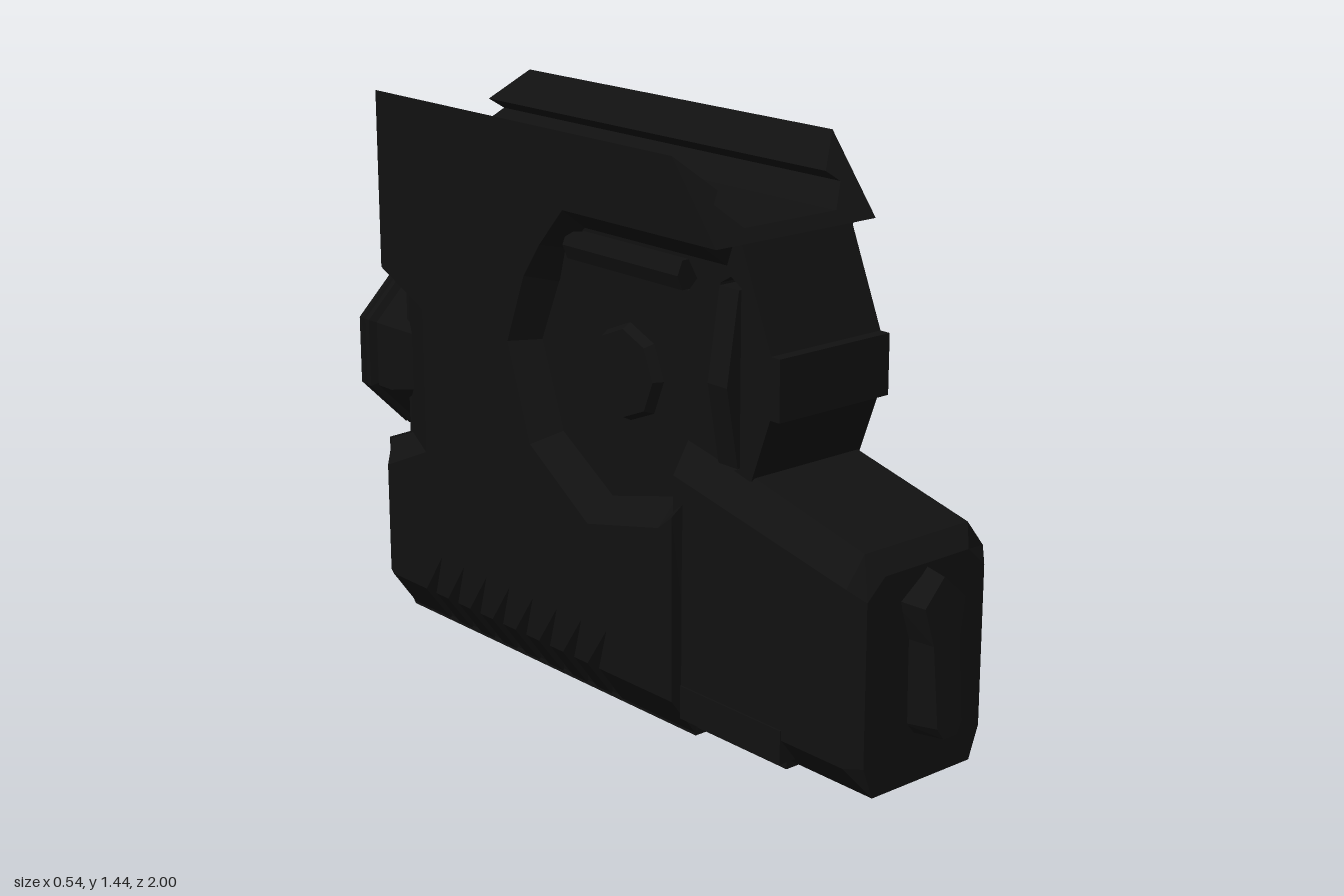
import * as THREE from 'three';

const dark = new THREE.MeshStandardMaterial({ color: 0x111111, flatShading: true });
const light = new THREE.MeshStandardMaterial({ color: 0xcccccc, side: THREE.DoubleSide });

// Closed loft along z through rings { at, pts: [a, b, offset?] } of equal length, with capped ends
function loft(rings) {
  const flat = (r) => r.pts.map((p) => new THREE.Vector2(p[0], p[1]));
  const last = rings.length - 1;
  if (THREE.ShapeUtils.isClockWise(flat(rings[last]))) {
    rings = rings.map((r) => ({ at: r.at, pts: [...r.pts].reverse() }));
  }
  const n = rings[0].pts.length, pos = [], idx = [];
  rings.forEach((r) => r.pts.forEach((p) => pos.push(p[0], p[1], r.at + (p[2] || 0))));
  for (let k = 0; k < last; k++) {
    for (let i = 0; i < n; i++) {
      const a = k * n + i, b = k * n + ((i + 1) % n);
      idx.push(a, b, b + n, a, b + n, a + n);
    }
  }
  for (const k of [0, last]) {
    const c = flat(rings[k]);
    for (const [i, j, l] of THREE.ShapeUtils.triangulateShape(c, [])) {
      const ccw = c[j].clone().sub(c[i]).cross(c[l].clone().sub(c[i])) > 0;
      const [u, v] = ccw === (k === last) ? [j, l] : [l, j];
      idx.push(k * n + i, k * n + u, k * n + v);
    }
  }
  const g = new THREE.BufferGeometry();
  g.setAttribute('position', new THREE.Float32BufferAttribute(pos, 3));
  g.setIndex(idx);
  const out = g.toNonIndexed();
  out.computeVertexNormals();
  return out;
}

// Side outlines are given as [z, y] and lofted or extruded across x
const turn = (pts) => pts.map(([z, y]) => [-z, y]);
const toV2 = (pts) => turn(pts).map((p) => new THREE.Vector2(...p));

export function createModel() {
  const group = new THREE.Group();
  const body = new THREE.Group();
  body.name = 'body';
  body.position.x = -0.0175;
  group.add(body);
  const add = (name, geometry, material = dark) => {
    const m = new THREE.Mesh(geometry, material);
    m.name = name;
    body.add(m);
    return m;
  };
  const box = (name, w, y0, y1, z0, z1, x = 0, mat = dark) =>
    add(name, new THREE.BoxGeometry(w, y1 - y0, z1 - z0).translate(x, (y0 + y1) / 2, (z0 + z1) / 2), mat);

  // Core slab with the upper front head and two through slots
  const core = new THREE.Shape(toV2([
    [0.33, 0], [-0.84, 0], [-0.94, 0.11], [-0.94, 0.46], [-0.84, 0.5], [-0.84, 0.9], [-0.94, 0.95],
    [-0.94, 1.28], [0.455, 1.28], [0.48, 1.25], [0.58, 1.01], [0.58, 0.86], [0.52, 0.7], [0.33, 0.65],
  ]));
  core.holes.push(
    new THREE.Path(toV2([[0.33, 1.145], [0.3, 1.185], [-0.135, 1.185], [-0.155, 1.15], [-0.135, 1.11], [0.3, 1.11]])),
    new THREE.Path(toV2([[0.48, 0.72], [0.445, 0.705], [0.41, 0.72], [0.41, 1.15], [0.445, 1.17], [0.48, 1.15]])),
  );
  add('core', new THREE.ExtrudeGeometry(core, { depth: 0.35, bevelEnabled: false })
    .translate(0, 0, -0.175).rotateY(Math.PI / 2));
  box('nose', 0.35, 0.86, 1.01, 0.55, 0.61);

  // Bars inside the slots, bulging at the sides
  const bulge = (y0, y1, ym, w, m) => [[-w, y0], [w, y0], [m, ym], [w, y1], [-w, y1], [-m, ym]];
  const upright = bulge(0.72, 1.145, 0.92, 0.18, 0.215);
  add('uprightBar', loft([{ at: 0.412, pts: upright }, { at: 0.478, pts: upright }]));
  const level = bulge(1.112, 1.183, 1.148, 0.19, 0.205);
  add('levelBar', loft([{ at: -0.13, pts: level }, { at: 0.295, pts: level }]));

  // Side plates: [outer z, y, inner z, y], with grip grooves, rear notch and front recess
  const outline = [[0.33, 0.11, 0.33, 0]];
  for (let i = 0; i < 8; i++) {
    const z = 0.05 - i * 0.098;
    outline.push([z + 0.005, 0.11, z + 0.005, 0], [z + 0.035, 0.22, z, 0], [z - 0.04, 0.11, z - 0.04, 0]);
  }
  outline.push(
    [-0.83, 0.11, -0.84, 0], [-0.84, 0.12, -0.935, 0.11], [-0.84, 0.42, -0.935, 0.46],
    [-0.66, 0.5, -0.84, 0.5], [-0.66, 0.89, -0.84, 0.9], [-0.84, 0.97, -0.935, 0.95],
    [-0.84, 1.27, -0.935, 1.27], [0.46, 1.27, 0.46, 1.27],
    [0.43, 1.25, 0.43, 1.19], [-0.07, 1.25, -0.08, 1.19], [-0.16, 1.15, -0.155, 1.13],
    [-0.225, 1.06, -0.18, 1.04], [-0.295, 0.88, -0.25, 0.88], [-0.21, 0.63, -0.17, 0.66],
    [0.015, 0.48, 0.02, 0.54], [0.28, 0.54, 0.26, 0.6], [0.33, 0.58, 0.34, 0.65],
  );
  const outer = { at: 0.2525, pts: turn(outline.map((p) => [p[0], p[1]])) };
  const inner = { at: 0.17, pts: turn(outline.map((p) => [p[2], p[3]])) };
  for (const s of [1, -1]) {
    const rings = s > 0 ? [inner, outer] : [{ at: -outer.at, pts: outer.pts }, { at: -inner.at, pts: inner.pts }];
    add(s > 0 ? 'leftPlate' : 'rightPlate', loft(rings).rotateY(Math.PI / 2));

    // Top mounting rail, ends cut back along the section
    const section = [[0.2525, 1.25], [0.2525, 1.44], [0.17, 1.36], [0.2, 1.335], [0.145, 1.28], [0.145, 1.25]];
    const end = (f) => section.map(([x, y]) => [s * x, y, f(x, y)]);
    add(s > 0 ? 'leftRail' : 'rightRail', loft([
      { at: 0, pts: end((x) => -0.84 - (0.2525 - x) * 0.93) },
      { at: 0, pts: end((x, y) => Math.min(0.48, 0.33 + (1.44 - y) * 0.79)) },
    ]));
  }

  // Lower front block with chamfered edges
  const blockRing = (at, w, top, drop, low) => ({
    at,
    pts: [[-0.16, low], [0.16, low], [w, low + 0.08], [w, top - drop], [w - 0.055, top], [0.055 - w, top],
      [-w, top - drop], [-w, low + 0.08]],
  });
  add('frontBlock', loft([
    blockRing(0.3, 0.222, 0.76, 0.09, 0.04),
    blockRing(0.88, 0.222, 0.62, 0.07, 0.04),
    blockRing(0.915, 0.19, 0.57, 0.05, 0.04),
  ]));
  box('underPad', 0.34, 0.02, 0.1, 0.3, 0.645);
  box('underTabs', 0.452, 0.06, 0.145, 0.33, 0.68);

  // Spoon-shaped front latch
  const latch = [[-0.03, 0.16], [0.03, 0.16], [0.055, 0.19], [0.058, 0.4], [0.09, 0.5], [0, 0.565],
    [-0.09, 0.5], [-0.058, 0.4], [-0.055, 0.19]];
  add('latch', loft([
    { at: 0.89, pts: latch },
    { at: 0, pts: latch.map(([x, y]) => [x * 0.72, 0.36 + (y - 0.36) * 0.93, 1.012 - y * 0.078]) },
  ]));

  // Octagonal side button and the plain disc opposite
  const disc = (name, r0, r1, x0, x1) => add(name, new THREE.CylinderGeometry(r1, r0, x1 - x0, 8)
    .rotateZ(-Math.PI / 2).translate((x0 + x1) / 2, 0.87, 0.09));
  disc('buttonBase', 0.12, 0.12, 0.16, 0.2475);
  disc('buttonCap', 0.12, 0.085, 0.2475, 0.2875);
  disc('oppositeDisc', 0.11, 0.13, -0.2, -0.16);

  // Lamp housing and reflector at the back
  const lathe = (pts) => new THREE.LatheGeometry(pts.map((p) => new THREE.Vector2(...p)), 8)
    .rotateY(Math.PI / 8).rotateX(-Math.PI / 2).translate(0, 0.705, 0);
  add('lampHousing', lathe([
    [0.19, 0.72], [0.2, 0.8], [0.23, 0.87], [0.23, 0.93], [0.222, 0.94], [0.243, 0.95], [0.243, 0.965],
    [0.232, 0.972], [0.243, 0.98], [0.238, 1], [0.198, 1], [0.19, 0.97],
  ]));
  add('reflector', lathe([[0.192, 0.975], [0.17, 0.92], [0.12, 0.875], [0.001, 0.85]]), light);

  // Rear contact pins
  for (const x of [-0.07, 0.07]) box('contactPin', 0.04, 1.08, 1.135, -0.955, -0.93, x, light);

  return group;
}
